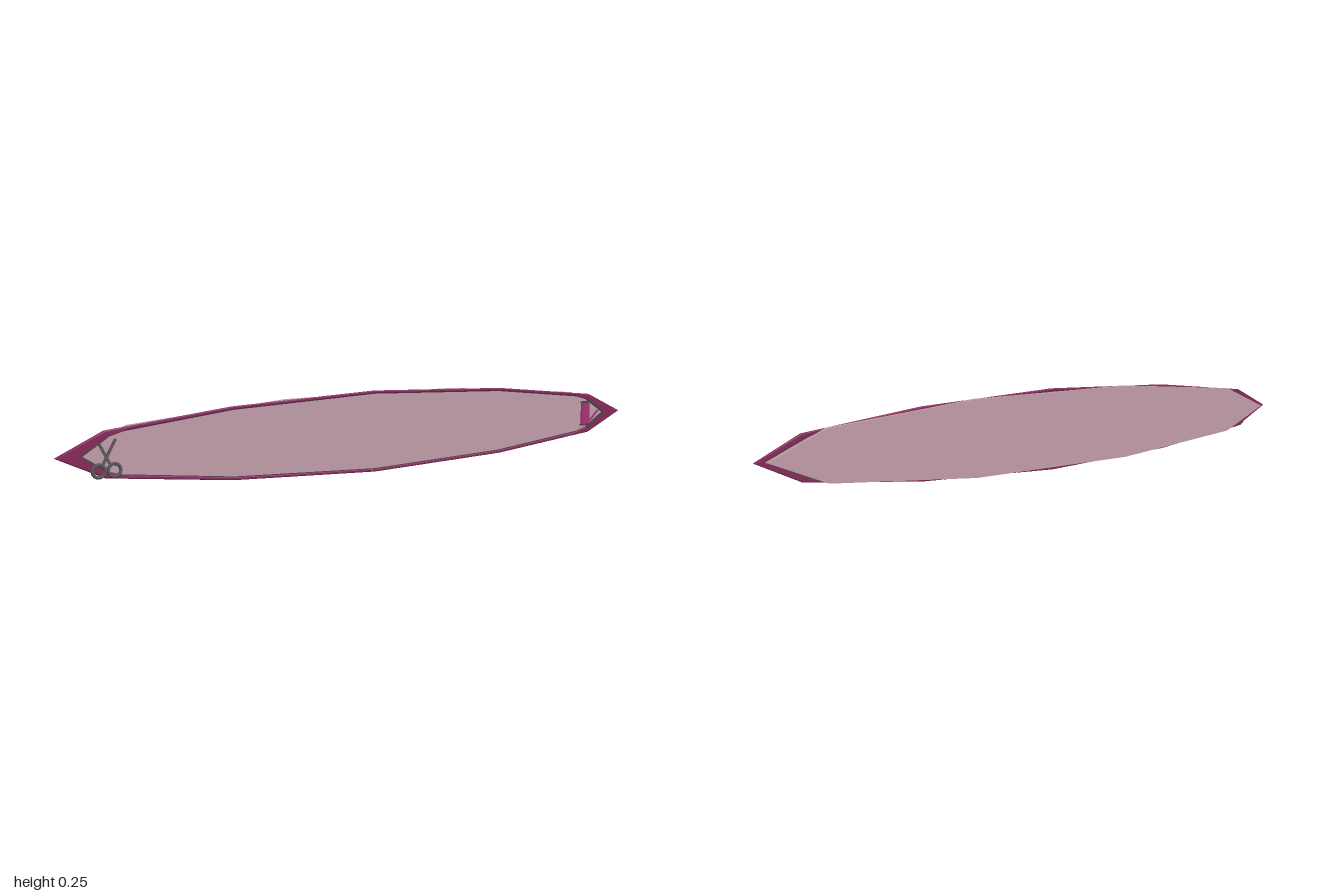
import * as THREE from 'three';

const CY = 0.129; // height of the long axis
const mat = (color) => new THREE.MeshStandardMaterial({ color, flatShading: true });
const panelMat = mat(0xc09ca8), plumMat = mat(0x84285a), pinkMat = mat(0xab2f78);
const lipMat = mat(0x4c4448), steelMat = mat(0x5a5659);

// Closed outline from the upper right quarter, ordered from the tip to the middle
function outline(quarter) {
  const mirrored = quarter.filter(([x]) => x > 0).reverse().map(([x, y]) => [-x, y]);
  const top = [...quarter, ...mirrored];
  const bottom = top.slice(1, -1).reverse().map(([x, y]) => [x, -y]);
  return [...top, ...bottom].map(([x, y]) => new THREE.Vector2(x, y));
}

function plate(name, shape, z0, z1, material, bevel = 0) {
  const geo = new THREE.ExtrudeGeometry(shape, {
    depth: z1 - z0 - 2 * bevel, bevelEnabled: bevel > 0,
    bevelThickness: bevel, bevelSize: bevel, bevelOffset: -bevel, bevelSegments: 1,
  });
  geo.translate(0, 0, z0 + bevel);
  const mesh = new THREE.Mesh(geo, material);
  mesh.name = name;
  return mesh;
}

function ring(name, outer, inner, z0, z1, material, bevel) {
  const shape = new THREE.Shape(outline(outer));
  shape.holes.push(new THREE.Path(outline(inner)));
  return plate(name, shape, z0, z1, material, bevel);
}

// Flat bar between two points
function bar(name, [x1, y1], [x2, y2], width, z, depth, material) {
  const mesh = new THREE.Mesh(
    new THREE.BoxGeometry(Math.hypot(x2 - x1, y2 - y1), width, depth), material);
  mesh.position.set((x1 + x2) / 2, (y1 + y2) / 2, z);
  mesh.rotation.z = Math.atan2(y2 - y1, x2 - x1);
  mesh.name = name;
  return mesh;
}

export function createModel() {
  const root = new THREE.Group();
  root.name = 'signBoard';
  const body = new THREE.Group();
  body.name = 'board';
  body.position.y = CY;
  root.add(body);

  // Backing panel
  body.add(plate('panel', new THREE.Shape(outline(
    [[0.968, 0], [0.79, 0.075], [0.3, 0.117]])), -0.0148, 0.002, panelMat));

  // Thin faceted frame with a narrow dark inner lip
  body.add(ring('frame',
    [[0.998, 0], [0.86, 0.066], [0.48, 0.108], [0, 0.127]],
    [[0.968, 0], [0.845, 0.058], [0.475, 0.1], [0, 0.119]], -0.002, 0.009, plumMat, 0.002));
  body.add(ring('innerLip',
    [[0.969, 0], [0.846, 0.0585], [0.475, 0.1005], [0, 0.1195]],
    [[0.965, 0], [0.843, 0.0562], [0.474, 0.0982], [0, 0.1172]], -0.001, 0.005, lipMat, 0));

  // Heavier arrow-shaped end caps with dark inner trim
  for (const s of [-1, 1]) {
    const half = [[0.75, 0.077], [0.86, 0.064], [0.993, 0]];
    const inner = [[0.925, 0], [0.852, 0.048], [0.79, 0.066]];
    const flip = ([x, y]) => [x, -y];
    const points = [
      ...half, ...half.slice(0, 2).reverse().map(flip),
      ...inner.slice(1).reverse().map(flip), ...inner,
    ].map(([x, y]) => new THREE.Vector2(s * x, y));
    body.add(plate('endCap', new THREE.Shape(points), 0.001, 0.0105, plumMat, 0.0015));
    for (const t of [-1, 1]) {
      body.add(bar('endTrim', [s * 0.928, 0], [s * 0.852, t * 0.049], 0.005, 0.007, 0.008, lipMat));
    }
  }

  // Scissors on the right end of the board
  const scissors = new THREE.Group();
  scissors.name = 'scissors';
  for (const t of [-1, 1]) {
    const handle = new THREE.Mesh(new THREE.TorusGeometry(0.018, 0.005, 6, 16), steelMat);
    handle.name = 'handle';
    handle.position.set(-0.857 + t * 0.022, -0.044, 0.01);
    scissors.add(handle);
    scissors.add(bar('blade', [-0.857 - t * 0.011, -0.028], [-0.855 + t * 0.026, 0.042],
      0.008, 0.009 + t * 0.001, 0.003, steelMat));
  }
  const pivot = new THREE.Mesh(new THREE.CylinderGeometry(0.005, 0.005, 0.009, 8), steelMat);
  pivot.name = 'pivot';
  pivot.rotation.x = Math.PI / 2;
  pivot.position.set(-0.857, -0.013, 0.0115);
  scissors.add(pivot);
  body.add(scissors);

  // Thread spool on the left end of the board
  const spool = new THREE.Group();
  spool.name = 'spool';
  const thread = new THREE.Mesh(new THREE.CylinderGeometry(0.019, 0.019, 0.074, 10), pinkMat);
  thread.name = 'thread';
  thread.scale.z = 0.33;
  spool.add(thread);
  for (const t of [-1, 1]) {
    const rim = new THREE.Mesh(new THREE.CylinderGeometry(0.022, 0.022, 0.005, 10), lipMat);
    rim.name = 'spoolRim';
    rim.scale.z = 0.33;
    rim.position.y = t * 0.039;
    spool.add(rim);
  }
  spool.position.set(0.847, 0, 0.006);
  body.add(spool);

  // Loose thread running from the spool to the tip
  body.add(bar('looseThread', [0.866, -0.03], [0.905, 0.008], 0.004, 0.005, 0.005, pinkMat));
  return root;
}
